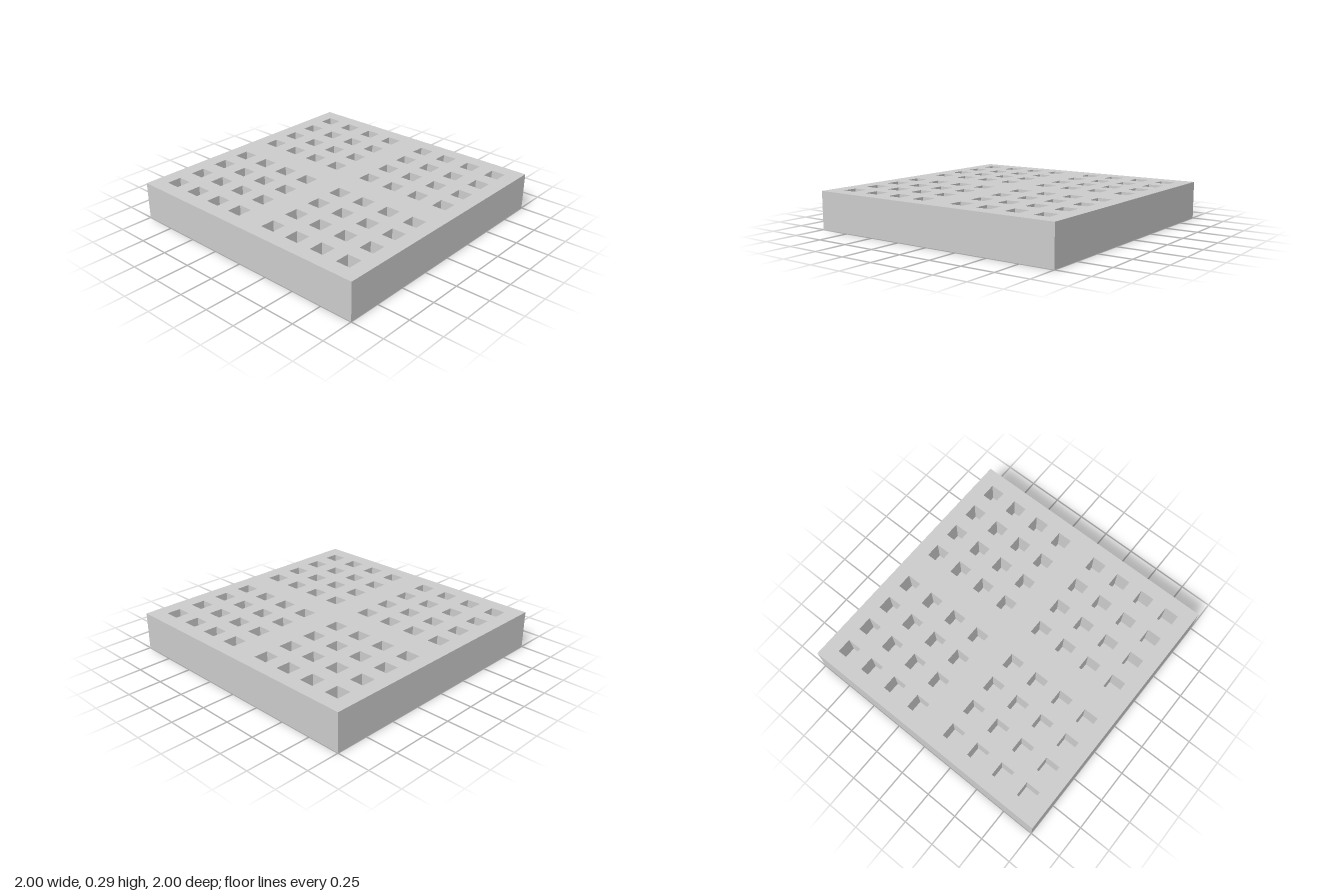
import * as THREE from 'three';

const SIZE = 2;
const HEIGHT = 0.286;
const FLOOR = 0.1;            // solid thickness below the sockets
const CELL = SIZE / 18;       // socket width; also the wall between sockets

// Counter-clockwise square outline centred on (x, y)
function square(path, x, y, size) {
  const h = size / 2;
  path.moveTo(x - h, y - h);
  path.lineTo(x + h, y - h);
  path.lineTo(x + h, y + h);
  path.lineTo(x - h, y + h);
  path.closePath();
  return path;
}

export function createModel() {
  const group = new THREE.Group();
  group.name = 'socketBlock';
  const material = new THREE.MeshStandardMaterial({ color: 0xcccccc, flatShading: true });

  // Four sockets on each side of a wider central gap, in both directions
  const centres = [];
  for (let i = 0; i < 4; i++) {
    const c = CELL * (1.5 + 2 * i);
    centres.push(-c, c);
  }

  // Upper plate pierced by the square sockets
  const outline = square(new THREE.Shape(), 0, 0, SIZE);
  for (const x of centres) {
    for (const y of centres) outline.holes.push(square(new THREE.Path(), x, y, CELL));
  }
  const plateGeometry = new THREE.ExtrudeGeometry(outline, {
    depth: HEIGHT - FLOOR, bevelEnabled: false,
  });
  plateGeometry.rotateX(-Math.PI / 2);
  const plate = new THREE.Mesh(plateGeometry, material);
  plate.name = 'socketPlate';
  plate.position.y = FLOOR;
  group.add(plate);

  // Solid base closing the sockets from below
  const base = new THREE.Mesh(new THREE.BoxGeometry(SIZE, FLOOR, SIZE), material);
  base.name = 'base';
  base.position.y = FLOOR / 2;
  group.add(base);

  return group;
}
